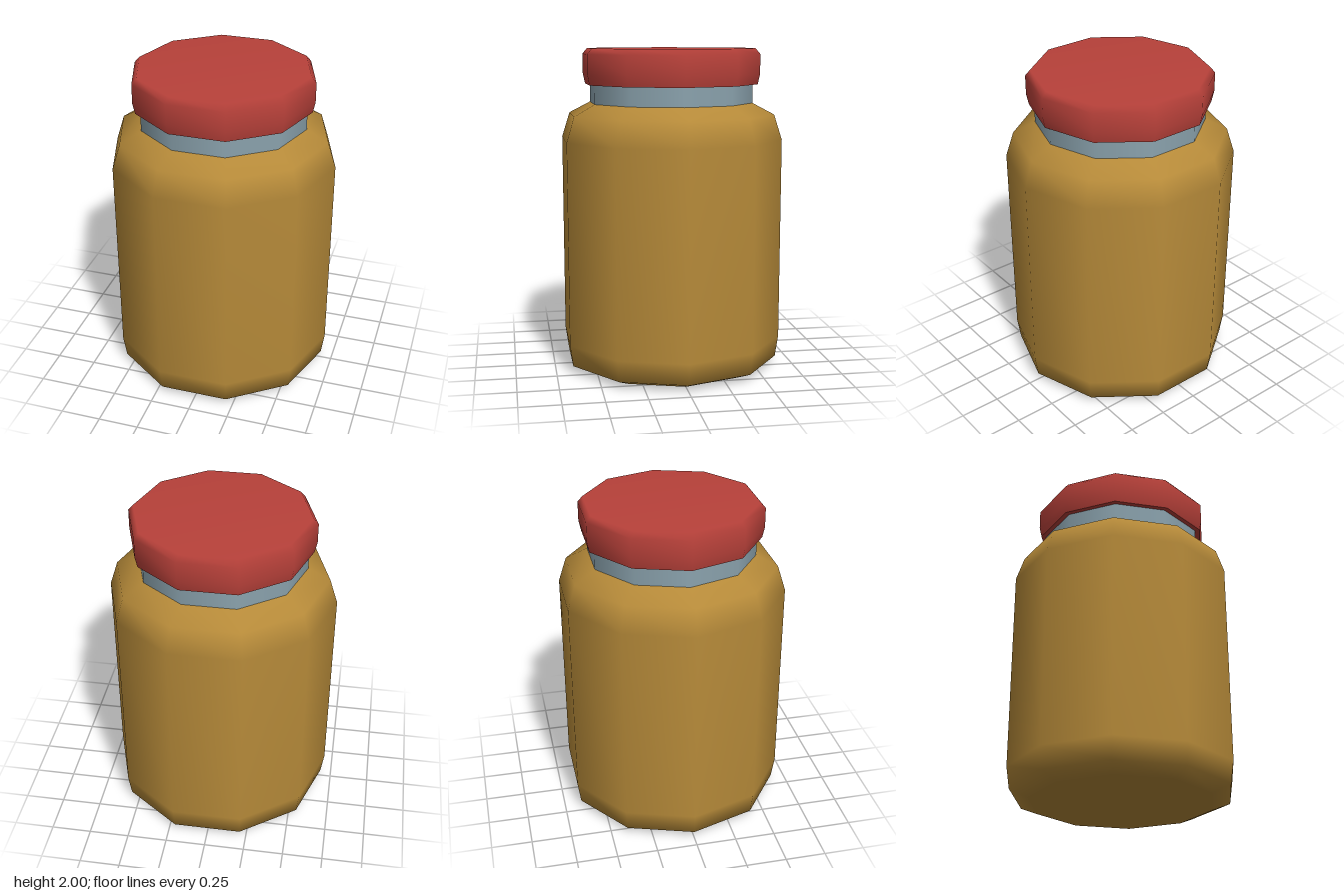
import * as THREE from 'three';

const SIDES = 10;

export function createModel() {
  const jar = new THREE.Group();
  jar.name = 'jar';

  const material = (name, color) => {
    const m = new THREE.MeshStandardMaterial({ color });
    m.name = name;
    return m;
  };
  const amber = material('amber', 0xb68a39);
  const steel = material('steel blue', 0x8ba3ae);
  const red = material('red', 0xb8413a);

  // Ten-sided turned part; the profile runs from bottom to top as [radius, height]
  const turned = (name, profile, mat, parent = jar) => {
    const points = profile.map(([r, y]) => new THREE.Vector2(r, y));
    // Start a quarter turn round so that corners lie on the x axis
    const mesh = new THREE.Mesh(new THREE.LatheGeometry(points, SIDES, Math.PI / 2), mat);
    mesh.name = name;
    parent.add(mesh);
  };

  // Body with chamfered base and rounded shoulder
  turned('body', [
    [0, 0], [0.57, 0], [0.68, 0.045], [0.7, 0.18],
    [0.7, 1.44], [0.65, 1.595], [0.515, 1.665],
  ], amber);

  // Neck between shoulder and lid
  turned('neck', [[0.515, 1.66], [0.515, 1.79]], steel);

  // Lid, with a separate underside to keep its lower rim sharp
  const lid = new THREE.Group();
  lid.name = 'lid';
  jar.add(lid);
  turned('lidShell', [
    [0.546, 1.78], [0.56, 1.845], [0.56, 1.965], [0.53, 2], [0, 2],
  ], red, lid);
  turned('lidUnderside', [[0.5, 1.78], [0.546, 1.78]], red, lid);

  return jar;
}
